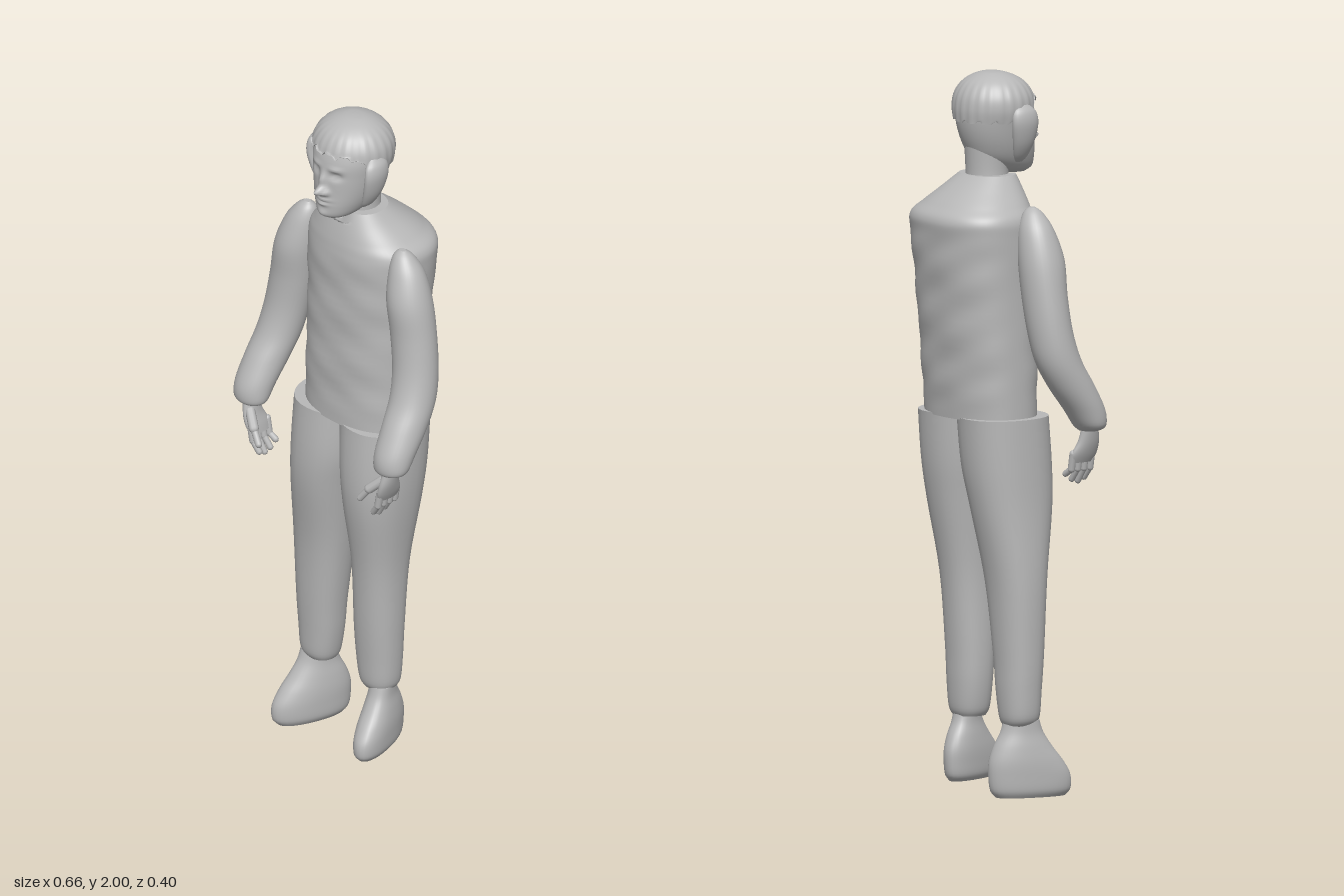
import * as THREE from 'three';

const grey = new THREE.MeshStandardMaterial({ color: 0xb8b8b8 });
grey.name = 'plain grey';

// Smooth closed body through horizontal rings [y, xMin, xMax, zMin, zMax], lowest first.
function loft(rings, { seg = 32, sub = 5, power = 2 } = {}) {
  const spline = (p0, p1, p2, p3, t) => {
    const a = (p2 - p0) / 2, b = (p3 - p1) / 2, d = p1 - p2;
    return ((2 * d + a + b) * t + (-3 * d - 2 * a - b)) * t * t + a * t + p1;
  };
  const rows = [];
  const last = rings.length - 1;
  for (let i = 0; i < last; i++) {
    const p = [rings[Math.max(i - 1, 0)], rings[i], rings[i + 1], rings[Math.min(i + 2, last)]];
    for (let k = 0; k < sub; k++) {
      rows.push(p[1].map((_, c) => spline(p[0][c], p[1][c], p[2][c], p[3][c], k / sub)));
    }
  }
  rows.push(rings[last]);
  // Flat caps: a repeated end row and a row shrunk to its centre.
  const point = ([y, a, b, c, d]) => [y, (a + b) / 2, (a + b) / 2, (c + d) / 2, (c + d) / 2];
  const first = rows[0], top = rows[rows.length - 1];
  const all = [point(first), first, ...rows, top, point(top)];
  const pos = [], index = [];
  const round = (v) => Math.sign(v) * Math.abs(v) ** (2 / power);
  all.forEach(([y, x0, x1, z0, z1], i) => {
    for (let j = 0; j < seg; j++) {
      const a = (j / seg) * Math.PI * 2;
      pos.push((x0 + x1) / 2 + round(Math.cos(a)) * (x1 - x0) / 2, y,
        (z0 + z1) / 2 + round(Math.sin(a)) * (z1 - z0) / 2);
      if (i === all.length - 1) continue;
      const n = (j + 1) % seg, r = i * seg, s = r + seg;
      index.push(r + j, s + j, r + n, s + j, s + n, r + n);
    }
  });
  const geo = new THREE.BufferGeometry();
  geo.setAttribute('position', new THREE.Float32BufferAttribute(pos, 3));
  geo.setIndex(index);
  geo.computeVertexNormals();
  return geo;
}

// Move every vertex by a rule, then renew the normals.
function shape(geo, rule) {
  const p = geo.attributes.position, v = new THREE.Vector3();
  for (let i = 0; i < p.count; i++) {
    rule(v.fromBufferAttribute(p, i));
    p.setXYZ(i, v.x, v.y, v.z);
  }
  geo.computeVertexNormals();
  return geo;
}

const mirror = (rings, side) =>
  side > 0 ? rings : rings.map(([y, a, b, c, d]) => [y, -b, -a, c, d]);
const even = (rings) => rings.map(([y, w, c, d]) => [y, -w, w, c, d]);

export function createModel() {
  const model = new THREE.Group();
  model.name = 'standingFigure';
  const add = (name, geo, parent = model) => {
    const mesh = new THREE.Mesh(geo, grey);
    mesh.name = name;
    parent.add(mesh);
    return mesh;
  };

  // Sweater with soft folds
  const sweater = loft([
    [1.05, -0.185, 0.182, -0.15, 0.1], [1.2, -0.185, 0.183, -0.162, 0.1],
    [1.4, -0.183, 0.188, -0.18, 0.1], [1.55, -0.185, 0.198, -0.193, 0.1],
    [1.605, -0.182, 0.195, -0.195, 0.096], [1.64, -0.155, 0.16, -0.165, 0.09],
    [1.68, -0.118, 0.118, -0.118, 0.08], [1.717, -0.085, 0.085, -0.07, 0.068],
  ], { seg: 64, sub: 8, power: 2.3 });
  add('sweater', shape(sweater, (v) => {
    const fade = THREE.MathUtils.smoothstep(v.y, 1.05, 1.15) * (1 - THREE.MathUtils.smoothstep(v.y, 1.5, 1.62));
    v.z += 0.003 * fade * Math.sin(v.y * 48 + v.x * 9) * Math.cos(v.x * 22 + v.y * 11);
    // neckline dips at the front
    if (v.z > 0.03 && v.y > 1.69) v.y -= 0.03 * Math.max(0, 1 - Math.abs(v.x) / 0.04);
  }));

  // Trouser legs
  add('rightTrouserLeg', loft([
    [0.2, -0.197, -0.108, -0.05, 0.035], [0.225, -0.212, -0.098, -0.06, 0.046],
    [0.3, -0.218, -0.086, -0.066, 0.052], [0.4, -0.222, -0.075, -0.07, 0.06],
    [0.6, -0.225, -0.048, -0.085, 0.075], [0.8, -0.216, -0.016, -0.12, 0.108],
    [0.92, -0.213, 0.008, -0.138, 0.114], [1.055, -0.21, 0.016, -0.148, 0.106],
  ], { power: 2.25 }));
  add('leftTrouserLeg', loft([
    [0.2, 0.03, 0.122, -0.05, 0.035], [0.225, 0.018, 0.135, -0.06, 0.046],
    [0.3, 0.008, 0.141, -0.066, 0.052], [0.4, 0.005, 0.146, -0.07, 0.06],
    [0.6, 0.005, 0.156, -0.085, 0.075], [0.8, -0.01, 0.182, -0.12, 0.108],
    [0.92, -0.022, 0.192, -0.138, 0.114], [1.055, -0.03, 0.195, -0.148, 0.106],
  ], { power: 2.25 }));

  // Shoes, toes turned out
  for (const [name, x, y0, turn] of [['rightShoe', -0.165, 0, -0.28], ['leftShoe', 0.09, 0.02, 0.28]]) {
    const k = (0.2 - y0) / 0.2;
    const rings = [
      [0, 0.036, -0.075, 0.115], [0.02, 0.047, -0.09, 0.129], [0.06, 0.05, -0.095, 0.127],
      [0.1, 0.05, -0.093, 0.105], [0.14, 0.046, -0.08, 0.075], [0.18, 0.04, -0.06, 0.05],
      [0.215, 0.039, -0.05, 0.038],
    ].map(([y, w, c, d]) => [y0 + y * k, x - w, x + w, c, d]);
    add(name, shape(loft(rings, { power: 2.2 }), (v) => { v.x += turn * v.z; }));
  }

  // Arms and hands
  for (const side of [-1, 1]) {
    const arm = new THREE.Group();
    arm.name = side > 0 ? 'leftArm' : 'rightArm';
    model.add(arm);
    add('sleeve', loft(mirror([
      [1.02, 0.238, 0.3, 0.12, 0.172], [1.035, 0.222, 0.326, 0.102, 0.188],
      [1.08, 0.216, 0.332, 0.07, 0.185], [1.15, 0.208, 0.331, 0.018, 0.152],
      [1.22, 0.198, 0.326, -0.018, 0.113], [1.3, 0.185, 0.317, -0.034, 0.09],
      [1.4, 0.168, 0.303, -0.042, 0.082], [1.5, 0.155, 0.285, -0.044, 0.084],
      [1.58, 0.152, 0.256, -0.034, 0.064], [1.625, 0.16, 0.222, -0.014, 0.042],
      [1.643, 0.176, 0.198, 0.006, 0.022],
    ], side)), arm);
    add('palm', loft(mirror([
      [0.93, 0.238, 0.262, 0.096, 0.17], [0.955, 0.242, 0.274, 0.096, 0.18],
      [0.99, 0.25, 0.286, 0.112, 0.18], [1.035, 0.256, 0.296, 0.122, 0.17],
    ], side), { seg: 20 }), arm);
    const finger = (name, from, to, r) => {
      const a = new THREE.Vector3(from[0] * side, from[1], from[2]);
      const b = new THREE.Vector3(to[0] * side, to[1], to[2]);
      const dir = b.clone().sub(a);
      const geo = new THREE.CapsuleGeometry(r, dir.length(), 5, 10);
      const mesh = add(name, geo, arm);
      mesh.position.copy(a).add(b).multiplyScalar(0.5);
      mesh.quaternion.setFromUnitVectors(new THREE.Vector3(0, 1, 0), dir.normalize());
    };
    for (let i = 0; i < 4; i++) {
      const z = 0.104 + i * 0.021, tip = 0.875 + [0.022, 0.006, 0, 0.008][i];
      finger('fingerBase', [0.254, 0.955, z], [0.246, 0.912, z], 0.0105);
      finger('fingerTip', [0.246, 0.912, z], [0.225, tip, z - 0.004], 0.009);
    }
    finger('thumbBase', [0.262, 1.0, 0.162], [0.227, 0.965, 0.182], 0.014);
    finger('thumbTip', [0.227, 0.965, 0.182], [0.2, 0.928, 0.19], 0.01);
  }

  // Neck and head, with features pushed out of or into the face
  add('neck', loft(even([
    [1.66, 0.068, -0.066, 0.058], [1.72, 0.06, -0.062, 0.056], [1.8, 0.062, -0.066, 0.058],
  ])));
  const features = [ // x, y, depth, width, height
    [0, 1.808, 0.034, 0.013, 0.013], [0, 1.84, 0.014, 0.011, 0.022],
    [0.017, 1.803, 0.01, 0.008, 0.008], [0, 1.781, 0.009, 0.022, 0.006],
    [0, 1.767, 0.008, 0.018, 0.006], [0, 1.774, -0.004, 0.025, 0.003],
    [0, 1.735, 0.006, 0.018, 0.012], [0.038, 1.858, -0.012, 0.016, 0.01],
    [0.038, 1.857, 0.006, 0.008, 0.005], [0.036, 1.879, 0.005, 0.02, 0.007],
  ];
  const head = loft(even([
    [1.715, 0.028, 0.05, 0.122], [1.73, 0.054, 0.0, 0.139], [1.76, 0.074, -0.045, 0.142],
    [1.8, 0.089, -0.068, 0.139], [1.85, 0.1, -0.083, 0.136], [1.9, 0.106, -0.086, 0.13],
    [1.95, 0.097, -0.073, 0.108], [1.98, 0.065, -0.045, 0.075], [1.99, 0.03, -0.015, 0.04],
  ]), { seg: 120, sub: 9, power: 2.1 });
  add('head', shape(head, (v) => {
    if (v.z < 0.04) return;
    let push = 0;
    for (const [x, y, depth, w, h] of features) {
      push += depth * Math.exp(-(((Math.abs(v.x) - x) / w) ** 2) - ((v.y - y) / h) ** 2);
    }
    v.z += push;
  }));

  // Hair cap with a ragged fringe and combed strands
  const hair = loft(even([
    [1.865, 0.111, -0.092, 0.138], [1.9, 0.117, -0.094, 0.135], [1.935, 0.113, -0.088, 0.127],
    [1.965, 0.095, -0.071, 0.108], [1.985, 0.068, -0.046, 0.08],
    [1.997, 0.035, -0.016, 0.046], [2, 0.006, 0.01, 0.02],
  ]), { seg: 96, sub: 6 });
  add('hair', shape(hair, (v) => {
    const a = Math.atan2(v.x, v.z - 0.02);
    const front = THREE.MathUtils.smoothstep(Math.cos(a), 0.15, 0.75);
    const line = 1.865 + 0.057 * front + 0.006 * Math.sin(a * 14) + 0.004 * Math.sin(a * 31);
    const strand = 1 + 0.012 * Math.sin(a * 24) * (1 - THREE.MathUtils.smoothstep(v.y, 1.95, 1.995));
    v.x *= strand;
    v.z = 0.02 + (v.z - 0.02) * strand;
    v.y = Math.max(v.y, line);
  }));

  // Locks of hair beside the face
  for (const side of [-1, 1]) {
    add(side > 0 ? 'leftLock' : 'rightLock', loft(mirror([
      [1.752, 0.07, 0.08, 0.04, 0.06], [1.77, 0.075, 0.1, 0.026, 0.07],
      [1.81, 0.085, 0.122, 0.012, 0.08], [1.86, 0.095, 0.134, 0.002, 0.086],
      [1.895, 0.095, 0.13, 0.004, 0.08], [1.915, 0.098, 0.114, 0.02, 0.06],
    ], side), { seg: 20 }));
  }

  return model;
}
